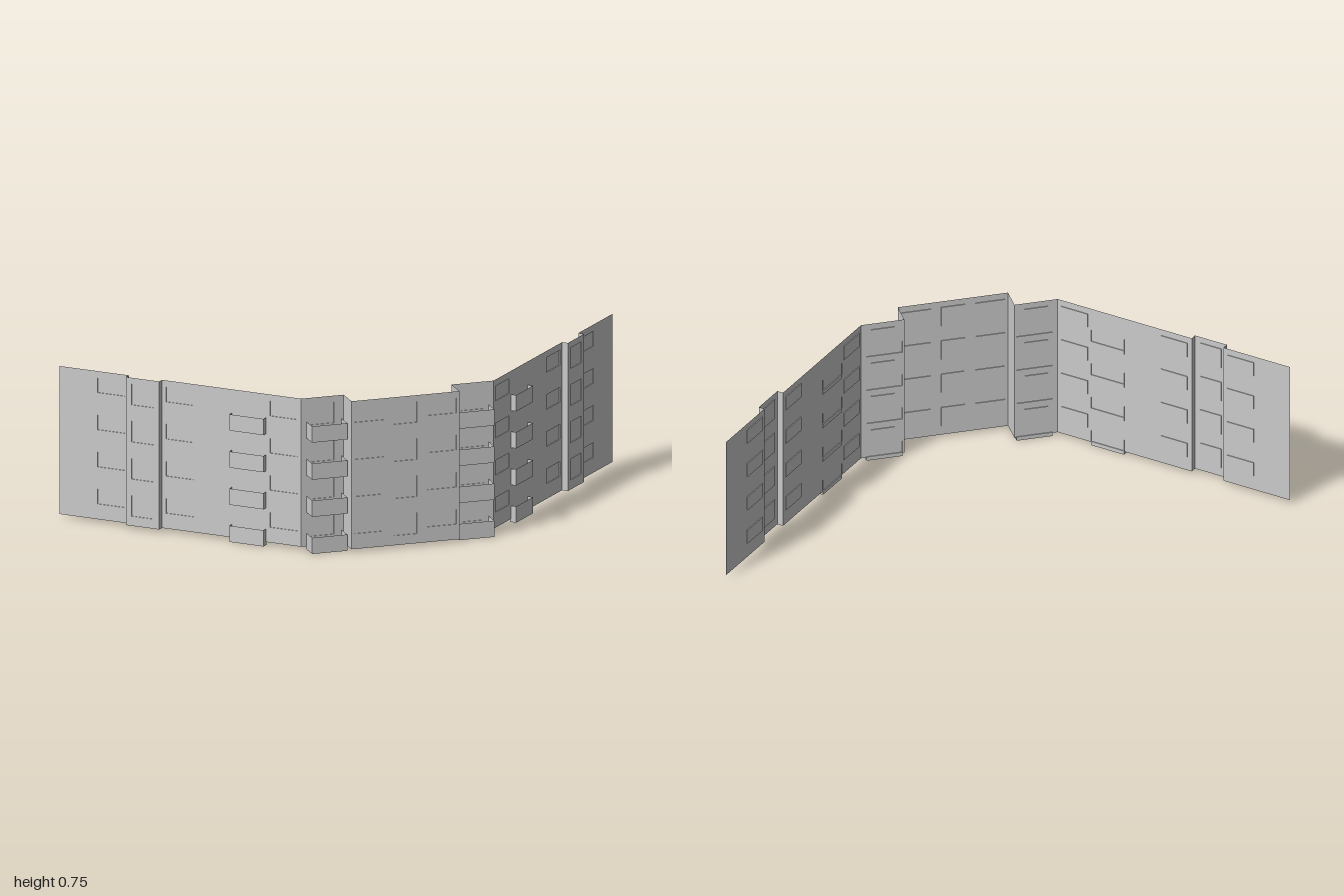
import * as THREE from 'three';

const BOTTOM = 0.015, TOP = 0.745, FLOOR = 0.183, FLOORS = 4, INSET = 0.004;
const material = new THREE.MeshStandardMaterial({ color: 0xcccccc, side: THREE.DoubleSide, flatShading: true });

function add(parent, name, geometry, x = 0, y = 0, z = 0) {
  const mesh = new THREE.Mesh(geometry, material);
  mesh.name = name;
  mesh.position.set(x, y, z);
  parent.add(mesh);
  return mesh;
}

// Thin box with some faces left out (0 +x, 1 -x, 2 +y, 3 -y, 4 +z, 5 -z)
function openBox(w, h, d, missing) {
  const geometry = new THREE.BoxGeometry(w, h, d);
  const index = Array.from(geometry.index.array);
  geometry.setIndex(index.filter((_, i) => !missing.includes(Math.floor(i / 6))));
  return geometry;
}

function rectangle(target, x0, y0, x1, y1) {
  target.moveTo(x0, y0).lineTo(x1, y0).lineTo(x1, y1).lineTo(x0, y1).closePath();
  return target;
}

// Wall sheet from a to b (x, z), outside facing local +z.
// windows: [centre, width, bottom, top], balconies: [centre, width, back, depth]
function addWall(parent, { name, a, b, windows = [], balconies = [] }) {
  const dx = b[0] - a[0], dz = b[1] - a[1], half = Math.hypot(dx, dz) / 2;
  const group = new THREE.Group();
  group.name = name;
  group.position.set((a[0] + b[0]) / 2, 0, (a[1] + b[1]) / 2);
  group.rotation.y = -Math.atan2(dz, dx);
  parent.add(group);

  const sheet = rectangle(new THREE.Shape(), -half, BOTTOM, half, TOP);
  for (let floor = 0; floor < FLOORS; floor++) {
    const y = floor * FLOOR;
    // Shallow recessed windows
    for (const [c, w, low, high] of windows) {
      sheet.holes.push(rectangle(new THREE.Path(), c - w / 2, y + low, c + w / 2, y + high));
      add(group, 'window', openBox(w, high - low, INSET, [4]), c, y + (low + high) / 2, -INSET / 2);
    }
    // Balcony slab with a thin parapet on three sides
    for (const [c, w, back, depth] of balconies) {
      const z = back + depth / 2;
      add(group, 'balconySlab', new THREE.BoxGeometry(w, 0.02, depth), c, y + 0.01, z);
      add(group, 'balconyParapet', openBox(w, 0.06, depth, [2, 3, 5]), c, y + 0.05, z);
    }
  }
  add(group, 'wallSheet', new THREE.ShapeGeometry(sheet));
}

export function createModel() {
  const model = new THREE.Group();
  model.name = 'cornerFacade';
  const wide = (c) => [c, 0.145, 0.09, 0.163];
  const narrow = (c) => [c, 0.115, 0.062, 0.165];
  const face = 0.957, bay = 0.988;

  // Front wing, up to the corner block
  const wing = [
    { name: 'endWall', a: [-1, face], b: [-0.635, face], windows: [wide(0.09)] },
    { name: 'bayReturn', a: [-0.635, face], b: [-0.635, bay] },
    { name: 'bayWall', a: [-0.635, bay], b: [-0.46, bay], windows: [narrow(0)] },
    { name: 'bayReturn', a: [-0.46, bay], b: [-0.46, face] },
    {
      name: 'mainWall', a: [-0.46, face], b: [0.275, face],
      windows: [wide(-0.2725), wide(0.275)], balconies: [[0.0925, 0.18, -INSET, 0.032]],
    },
    {
      name: 'recessWall', a: [0.275, face], b: [0.425, 0.807],
      windows: [narrow(0)], balconies: [[0.008, 0.176, -INSET, 0.09]],
    },
    { name: 'cornerReturn', a: [0.425, 0.807], b: [0.509, 0.891] },
  ];

  // The side wing mirrors the front wing across the corner diagonal
  const swap = ([x, z]) => [z, x];
  const flip = (items = []) => items.map(([c, ...rest]) => [-c, ...rest]);
  for (const part of wing) {
    addWall(model, { ...part, name: 'front' + part.name });
    addWall(model, {
      name: 'side' + part.name, a: swap(part.b), b: swap(part.a),
      windows: flip(part.windows), balconies: flip(part.balconies),
    });
  }

  // Projecting diagonal corner
  addWall(model, {
    name: 'cornerWall', a: [0.509, 0.891], b: [0.891, 0.509],
    windows: [wide(-0.182), narrow(0), wide(0.182)],
  });
  return model;
}
